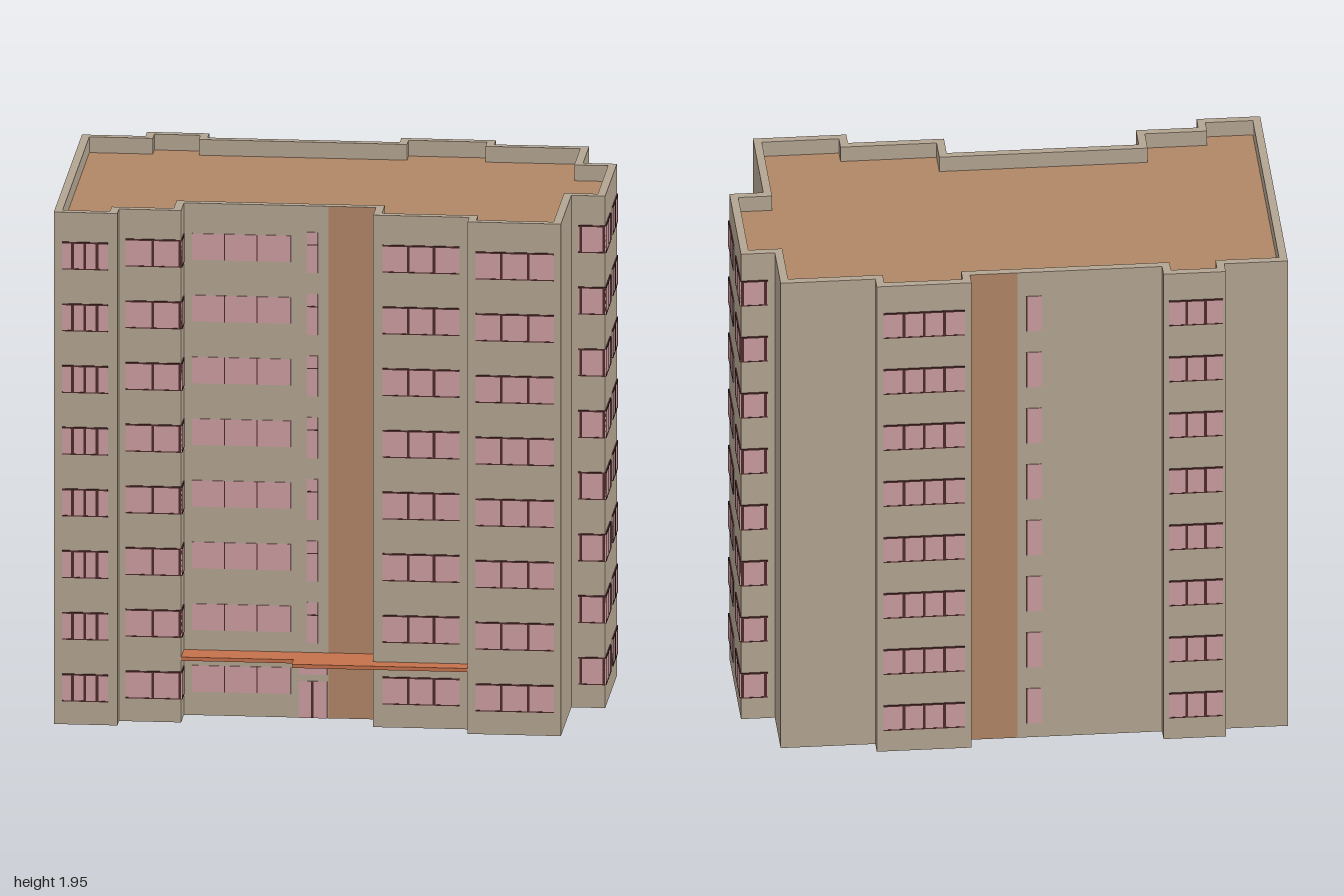
import * as THREE from 'three';
import { mergeGeometries } from 'three/addons/utils/BufferGeometryUtils.js';

const material = (name, color, side = THREE.DoubleSide) => {
  const m = new THREE.MeshStandardMaterial({ color, side });
  m.name = name;
  return m;
};

const TOP = 1.95, ROOF = 1.89, RIM = 0.03, FLOORS = 8, STOREY = 0.235;

// Footprint as [x, z], running along the back, right, front, left
const OUTLINE = [
  [-1, -0.53], [-0.765, -0.53], [-0.765, -0.59], [-0.535, -0.59], [-0.535, -0.53],
  [0, -0.53], [0.175, -0.53], [0.175, -0.59], [0.525, -0.59], [0.525, -0.53],
  [0.875, -0.53], [0.875, -0.295], [1, -0.295], [1, 0.17], [0.875, 0.17],
  [0.875, 0.585], [0.53, 0.585], [0.53, 0.52], [0.175, 0.52], [0.175, 0.41],
  [0, 0.41], [-0.535, 0.41], [-0.535, 0.52], [-0.765, 0.52], [-0.765, 0.585], [-1, 0.585],
];

// Windows: wall axis, wall position, start, end, mullion positions
const WINDOWS = [
  ['z', 0.585, -0.97, -0.80, [-0.93, -0.885, -0.84]],
  ['z', 0.52, -0.74, -0.535, [-0.64, -0.54]],
  ['x', -0.535, 0.43, 0.52, [0.435, 0.515]],
  ['z', 0.52, 0.21, 0.495, [0.305, 0.40]],
  ['z', 0.585, 0.56, 0.85, [0.655, 0.755]],
  ['z', 0.17, 0.90, 1, [0.91, 0.995]],
  ['x', 1, -0.02, 0.17, [-0.015, 0.08, 0.165]],
  ['x', 1, -0.295, -0.10, [-0.29, -0.195, -0.105]],
  ['z', -0.295, 0.90, 1, [0.91, 0.995]],
  ['z', -0.59, 0.20, 0.50, [0.275, 0.35, 0.425]],
  ['z', -0.59, -0.755, -0.555, [-0.69, -0.62]],
  ['x', -1, -0.27, -0.11, [-0.19]],
  ['x', -1, -0.03, 0.13, [0.05]],
  ['x', -1, 0.17, 0.39, [0.24, 0.32]],
];

// Outward normal of the edge leaving point i
function edgeNormal(i) {
  const n = OUTLINE.length;
  const [ax, az] = OUTLINE[(i + n) % n], [bx, bz] = OUTLINE[(i + 1) % n];
  return [Math.sign(bz - az), -Math.sign(bx - ax)];
}

// Footprint pulled inwards for the inner face of the parapet
function insetOutline(d) {
  return OUTLINE.map(([x, z], i) => {
    const p = edgeNormal(i - 1), q = edgeNormal(i);
    const straight = p[0] === q[0] && p[1] === q[1];
    return straight ? [x - q[0] * d, z - q[1] * d]
      : [x - (p[0] + q[0]) * d, z - (p[1] + q[1]) * d];
  });
}

// Upright sheet between two footprint points
function sheet([ax, az], [bx, bz], y0, y1, flip = false) {
  const g = new THREE.PlaneGeometry(Math.hypot(bx - ax, bz - az), y1 - y0);
  g.rotateY(Math.atan2(bz - az, -(bx - ax)) + (flip ? Math.PI : 0));
  return g.translate((ax + bx) / 2, (y0 + y1) / 2, (az + bz) / 2);
}

// Thin plate lying in a wall
function plate(axis, pos, a, b, y0, y1, depth) {
  const g = axis === 'z' ? new THREE.BoxGeometry(b - a, y1 - y0, depth)
    : new THREE.BoxGeometry(depth, y1 - y0, b - a);
  const mid = (a + b) / 2, y = (y0 + y1) / 2;
  return axis === 'z' ? g.translate(mid, y, pos) : g.translate(pos, y, mid);
}

const points = (loop) => loop.map(([x, z]) => new THREE.Vector2(x, -z));

export function createModel() {
  const model = new THREE.Group();
  model.name = 'apartmentBlock';
  const wall = material('wallBeige', 0xb3a491);
  const brown = material('roofBrown', 0xb08566);
  const orange = material('canopyOrange', 0xc4704a, THREE.FrontSide);
  const glass = material('windowPink', 0xcb9c9f, THREE.FrontSide);
  const dark = material('frameDark', 0x4d2a2a, THREE.FrontSide);

  const add = (name, geometry, mat, parent = model) => {
    const mesh = new THREE.Mesh(geometry, mat);
    mesh.name = name;
    parent.add(mesh);
  };

  // Outer walls, with a brown stair strip on front and back
  const inner = insetOutline(RIM);
  const wallParts = [], stripParts = [], innerParts = [];
  OUTLINE.forEach((a, i) => {
    const j = (i + 1) % OUTLINE.length, b = OUTLINE[j];
    const isStrip = Math.min(a[0], b[0]) === 0 && Math.max(a[0], b[0]) === 0.175;
    (isStrip ? stripParts : wallParts).push(sheet(a, b, 0, TOP));
    innerParts.push(sheet(inner[i], inner[j], ROOF, TOP, true));
  });
  add('walls', mergeGeometries(wallParts), wall);
  add('stairStrips', mergeGeometries(stripParts), brown);
  add('parapetInside', mergeGeometries(innerParts), wall);

  // Parapet top and sunken roof
  const rim = new THREE.Shape(points(OUTLINE));
  rim.holes.push(new THREE.Path(points(inner)));
  add('parapetTop', new THREE.ShapeGeometry(rim).rotateX(-Math.PI / 2).translate(0, TOP, 0), wall);
  const roof = new THREE.Shape(points(inner));
  add('roof', new THREE.ShapeGeometry(roof).rotateX(-Math.PI / 2).translate(0, ROOF, 0), brown);

  // Windows floor by floor
  for (let f = 0; f < FLOORS; f++) {
    const floor = new THREE.Group();
    floor.name = `floorWindows${f + 1}`;
    model.add(floor);
    const y0 = 0.09 + f * STOREY, y1 = y0 + 0.1;
    const panes = [], frames = [];
    for (const [axis, pos, a, b, mullions] of WINDOWS) {
      panes.push(plate(axis, pos, a, b, y0, y1, 0.007));
      frames.push(plate(axis, pos, a, b, y1 - 0.003, y1 + 0.003, 0.009));
      frames.push(plate(axis, pos, a, b, y0 - 0.002, y0 + 0.002, 0.0095));
      for (const m of mullions) frames.push(plate(axis, pos, m - 0.005, m + 0.005, y0, y1, 0.0095));
    }
    // Wide window in the recess
    panes.push(plate('z', 0.41, -0.505, -0.14, y0, y1, 0.007));
    for (const m of [-0.385, -0.265]) frames.push(plate('z', 0.41, m - 0.002, m + 0.002, y0, y1, 0.009));
    // Narrow stair windows
    panes.push(plate('z', -0.53, -0.09, -0.035, y0 - 0.03, y0 + 0.115, 0.007));
    frames.push(plate('z', -0.53, -0.037, -0.032, y0 - 0.03, y0 + 0.115, 0.009));
    if (f > 0) {
      panes.push(plate('z', 0.41, -0.08, -0.04, y0 - 0.04, y0 + 0.115, 0.007));
      frames.push(plate('z', 0.41, -0.08, -0.04, y0 + 0.065, y0 + 0.069, 0.009));
    }
    add('panes', mergeGeometries(panes), glass, floor);
    add('frames', mergeGeometries(frames), dark, floor);
  }

  // Entrance door with a light above
  add('door', plate('z', 0.41, -0.11, -0.005, 0, 0.14, 0.007), glass);
  add('doorLight', plate('z', 0.41, -0.11, -0.005, 0.165, 0.2, 0.007), glass);
  add('doorSplit', plate('z', 0.41, -0.064, -0.056, 0, 0.14, 0.0095), dark);

  // Stepped entrance canopy
  const canopy = new THREE.Shape(points([
    [-0.535, 0.41], [0.175, 0.41], [0.175, 0.52], [0.53, 0.52],
    [0.53, 0.585], [-0.12, 0.585], [-0.12, 0.52], [-0.535, 0.52],
  ]));
  add('canopy', new THREE.ExtrudeGeometry(canopy, { depth: 0.014, bevelEnabled: false })
    .rotateX(-Math.PI / 2).translate(0, 0.235, 0), orange);

  return model;
}
